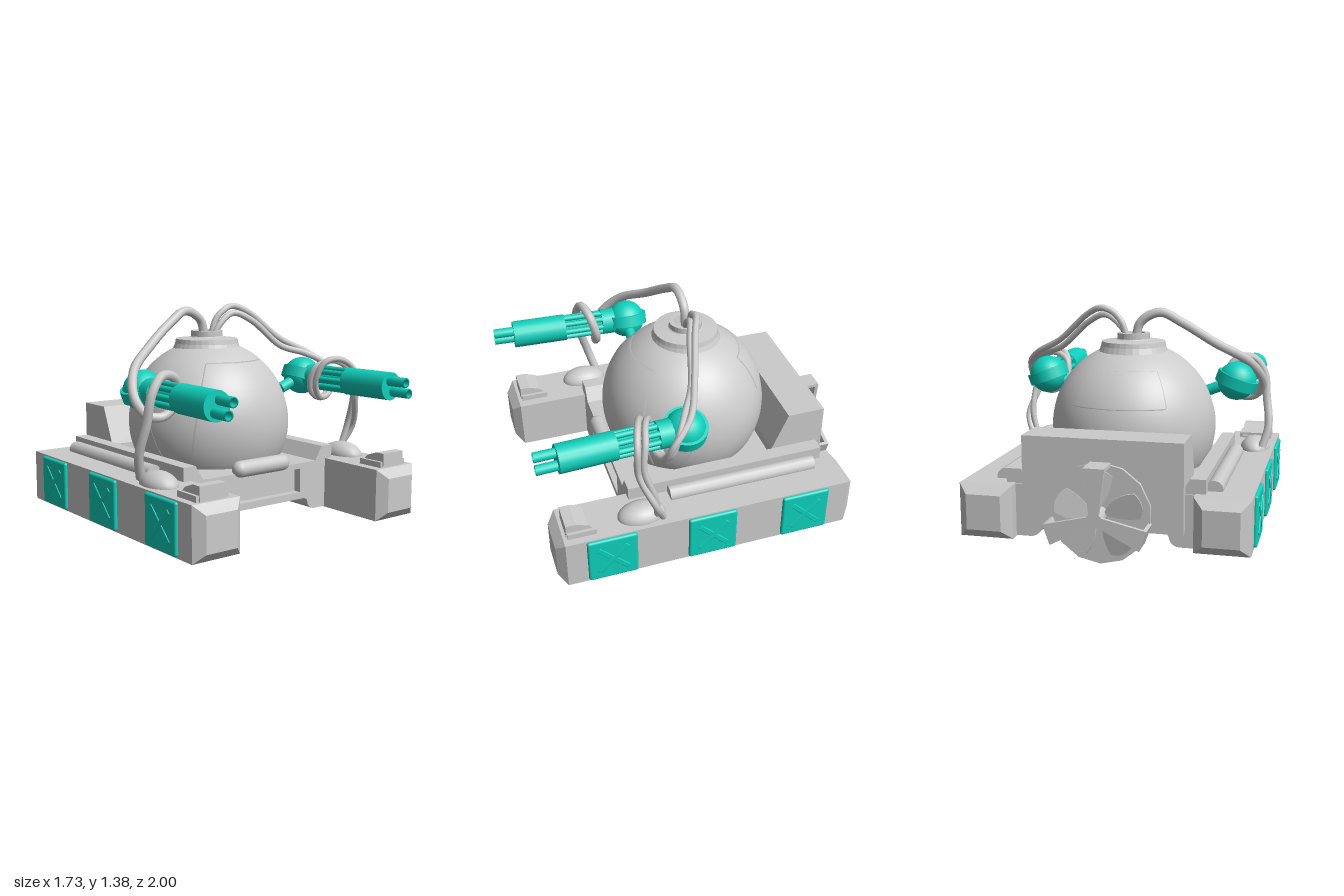
import * as THREE from 'three';
import { RoundedBoxGeometry } from 'three/addons/geometries/RoundedBoxGeometry.js';
import { ParametricGeometry } from 'three/addons/geometries/ParametricGeometry.js';

const grey = new THREE.MeshStandardMaterial({ color: 0xcccccc, side: THREE.DoubleSide });
const green = new THREE.MeshStandardMaterial({ color: 0x0fd0bc });
const V = (x, y, z) => new THREE.Vector3(x, y, z);

function add(parent, name, geo, x = 0, y = 0, z = 0, mat = grey) {
  const m = new THREE.Mesh(geo, mat);
  m.name = name;
  m.position.set(x, y, z);
  parent.add(m);
  return m;
}

const shapeOf = pts => new THREE.Shape(pts.map(p => new THREE.Vector2(...p)));
const extrude = (shape, depth) => new THREE.ExtrudeGeometry(shape, { depth, bevelEnabled: false, curveSegments: 6 });

// Side profile of [z, y] points swept along x, centred on x = 0
function sideExtrude(pts, width) {
  return extrude(shapeOf(pts), width).translate(0, 0, -width / 2).rotateY(-Math.PI / 2);
}

// Cylinder lying along z, from z0 to z1
function rodZ(r, z0, z1, sides = 16) {
  return new THREE.CylinderGeometry(r, r, z1 - z0, sides).rotateX(Math.PI / 2).translate(0, 0, (z0 + z1) / 2);
}

// Box along z with both ends tapered
function pontoonGeometry() {
  const g = new THREE.BoxGeometry(0.316, 0.315, 1.85, 1, 1, 3).toNonIndexed();
  const p = g.attributes.position;
  for (let i = 0; i < p.count; i++) {
    const z = p.getZ(i);
    if (Math.abs(z) > 0.9) p.setXYZ(i, p.getX(i) * 0.65, p.getY(i) * 0.66, z);
    else p.setZ(i, Math.sign(z) * 0.875);
  }
  g.computeVertexNormals();
  return g;
}

// Slightly raised plate on the dome; half-width runs from w0 (top) to w1 (bottom)
function domePlate(phi, t0, t1, w0, w1, r) {
  const D = Math.PI / 180;
  const g = new ParametricGeometry((u, v, out) => {
    const edge = Math.min(u, 1 - u, v, 1 - v) === 0;
    const t = (t0 + (t1 - t0) * v) * D;
    const a = (phi + (u * 2 - 1) * (w0 + (w1 - w0) * v)) * D;
    const rr = edge ? 0.5 : r;
    out.set(rr * Math.sin(t) * Math.sin(a), rr * Math.cos(t), rr * Math.sin(t) * Math.cos(a));
  }, 28, 20);
  return g;
}

function hose(parent, name, pts, r) {
  const curve = new THREE.CatmullRomCurve3(pts.map(p => V(...p)));
  add(parent, name, new THREE.TubeGeometry(curve, 90, r, 8), 0, 0, 0);
}

// Gun arm: ball joint, mounting pin, rod cluster, barrel and two muzzles
function createArm(s) {
  const arm = new THREE.Group();
  arm.name = s > 0 ? 'leftArm' : 'rightArm';
  arm.position.set(s * 0.62, 0.905, 0.125);
  add(arm, 'ballJoint', new THREE.SphereGeometry(0.12, 24, 16), 0, 0, 0, green);
  const band = add(arm, 'ballBand', new THREE.CylinderGeometry(0.132, 0.132, 0.07, 24), 0, 0, 0, green);
  band.rotation.z = s * -0.35;
  const pin = add(arm, 'mountingPin', new THREE.CylinderGeometry(0.035, 0.035, 0.2, 12), s * -0.1, -0.035, 0.005, green);
  pin.rotation.z = s * (Math.PI / 2 + 0.38);
  const gun = new THREE.Group();
  gun.name = 'gun';
  gun.rotation.y = s * 0.045;
  arm.add(gun);
  add(gun, 'collar', rodZ(0.083, 0.08, 0.17), 0, 0, 0, green);
  add(gun, 'core', rodZ(0.045, 0.1, 0.45), 0, 0, 0, green);
  for (let i = 0; i < 8; i++) {
    const a = (i / 8) * Math.PI * 2;
    add(gun, 'rod', rodZ(0.017, 0.1, 0.45, 8), Math.cos(a) * 0.064, Math.sin(a) * 0.064, 0, green);
  }
  add(gun, 'barrel', rodZ(0.085, 0.415, 0.75, 20), 0, 0, 0, green);
  for (const k of [-1, 1]) {
    const tube = new THREE.LatheGeometry([[0, 0.7], [0.03, 0.7], [0.03, 0.874], [0.02, 0.874], [0.02, 0.8], [0, 0.8]]
      .map(p => new THREE.Vector2(...p)), 14).rotateX(Math.PI / 2);
    add(gun, 'muzzle', tube, s * -0.015 * k, k * 0.033, 0, green);
  }
  return arm;
}

// Rear propeller with a three-armed bracket
function createFan() {
  const fan = new THREE.Group();
  fan.name = 'fan';
  fan.position.set(0, 0.292, 0);
  add(fan, 'fanPlate', rodZ(0.29, -0.865, -0.845, 14));
  add(fan, 'hub', rodZ(0.045, -1, -0.86, 12));
  const petal = new THREE.Shape();
  petal.moveTo(0.03, 0);
  petal.quadraticCurveTo(0.12, -0.1, 0.24, -0.07);
  petal.quadraticCurveTo(0.28, 0.02, 0.22, 0.08);
  petal.quadraticCurveTo(0.12, 0.07, 0.03, 0);
  for (let i = 0; i < 5; i++) {
    const holder = new THREE.Group();
    holder.rotation.z = Math.PI / 2 + (i * Math.PI * 2) / 5;
    fan.add(holder);
    add(holder, 'blade', extrude(petal, 0.008), 0, 0, -0.905).rotation.x = 0.18;
  }
  for (const deg of [90, 200, 340]) {
    const bracket = new THREE.Group();
    bracket.name = 'bracket';
    bracket.rotation.z = (deg * Math.PI) / 180;
    fan.add(bracket);
    add(bracket, 'strut', new THREE.BoxGeometry(0.02, 0.12, 0.15), 0.279, 0, -0.925);
    add(bracket, 'spoke', extrude(shapeOf([[0, -0.025], [0.289, -0.06], [0.289, 0.06], [0, 0.025]]), 0.022), 0, 0, -1);
  }
  return fan;
}

export function createModel() {
  const model = new THREE.Group();
  model.name = 'hoverVehicle';

  // Hull with rounded lower rails and a recessed front vent
  const hull = new THREE.Shape();
  hull.moveTo(-0.54, 0.41);
  hull.lineTo(-0.54, 0.105);
  hull.lineTo(-0.43, 0.105);
  hull.quadraticCurveTo(-0.385, 0.11, -0.375, 0.15);
  hull.quadraticCurveTo(-0.37, 0.18, -0.34, 0.182);
  hull.lineTo(0.34, 0.182);
  hull.quadraticCurveTo(0.37, 0.18, 0.375, 0.15);
  hull.quadraticCurveTo(0.385, 0.11, 0.43, 0.105);
  hull.lineTo(0.54, 0.105);
  hull.lineTo(0.54, 0.41);
  add(model, 'hull', extrude(hull, 1.2), 0, 0, -0.79);
  const front = hull.clone();
  front.holes.push(shapeOf([[-0.32, 0.225], [-0.32, 0.375], [0.31, 0.375], [0.31, 0.225]]));
  add(model, 'hullFront', extrude(front, 0.05), 0, 0, 0.41);
  const bumper = new THREE.CapsuleGeometry(0.05, 0.32, 8, 16).rotateZ(Math.PI / 2);
  add(model, 'bumper', bumper, -0.005, 0.435, 0.458);
  add(model, 'engineBox', sideExtrude([[-0.835, 0.19], [-0.5, 0.19], [-0.5, 0.47], [-0.6, 0.706], [-0.835, 0.706]], 0.925));

  // Pontoons, deck strips, lamps, hose sockets and side panels
  for (const s of [-1, 1]) {
    const side = new THREE.Group();
    side.name = s > 0 ? 'leftSide' : 'rightSide';
    model.add(side);
    add(side, 'pontoon', pontoonGeometry(), s * 0.678, 0.258, 0.025);
    add(side, 'deckStrip', extrude(shapeOf([[s * 0.43, 0.4], [s * 0.575, 0.4], [s * 0.575, 0.497], [s * 0.49, 0.497]]), 1.24), 0, 0, -0.78);
    add(side, 'rail', rodZ(0.05, -0.71, 0.22, 12), s * 0.612, 0.427, 0);
    add(side, 'lamp', sideExtrude([[0.7, 0.4], [0.88, 0.4], [0.88, 0.5], [0.82, 0.5], [0.75, 0.475], [0.7, 0.43]], 0.17), s * 0.685);
    add(side, 'lampBase', new THREE.BoxGeometry(0.21, 0.04, 0.17), s * 0.685, 0.43, 0.79);
    add(side, 'hoseSocket', new THREE.SphereGeometry(1, 20, 12), s * 0.715, 0.415, 0.42).scale.set(0.095, 0.08, 0.145);
    for (const z of [0.63, 0.02, -0.57]) {
      const panel = new THREE.Group();
      panel.name = 'sidePanel';
      panel.position.set(s * 0.84, 0.258, z);
      side.add(panel);
      add(panel, 'plate', new RoundedBoxGeometry(0.03, 0.298, 0.298, 3, 0.014), 0, 0, 0, green);
      for (const k of [-1, 1])
        add(panel, 'crossBar', new RoundedBoxGeometry(0.012, 0.25, 0.032, 2, 0.005), s * 0.014, 0, 0, green).rotation.x = (k * Math.PI) / 4;
    }
    model.add(createArm(s));
  }

  // Dome, its plates and the hose neck
  const dome = new THREE.Group();
  dome.name = 'dome';
  dome.position.set(-0.005, 0.65, -0.07);
  model.add(dome);
  add(dome, 'shell', new THREE.SphereGeometry(0.506, 48, 32, 0, Math.PI * 2, 0, 2.05));
  add(dome, 'frontPlate', domePlate(0, 37, 118, 41, 52, 0.511));
  add(dome, 'backPlate', domePlate(180, 42, 72, 38, 38, 0.511));
  for (const s of [-1, 1]) add(dome, 'sidePlate', domePlate(s * 92, 74, 116, 6, 24, 0.509));
  const cap = [[0.215, 0.45], [0.2, 0.487], [0.195, 0.515], [0.105, 0.525], [0.1, 0.53], [0.1, 0.565], [0.07, 0.565], [0.06, 0.5], [0, 0.5]];
  const neck = new THREE.LatheGeometry(cap.map(p => new THREE.Vector2(...p)), 32).toNonIndexed();
  neck.computeVertexNormals();
  add(dome, 'neck', neck, 0, 0, -0.015);

  // Hoses from the neck, round the guns and down to the sockets
  hose(model, 'thickHose', [
    [-0.02, 1.16, -0.09], [-0.05, 1.28, -0.09], [-0.17, 1.342, -0.08], [-0.3, 1.28, -0.05], [-0.5, 1.15, 0.02],
    [-0.7, 1.02, 0.15], [-0.77, 0.88, 0.27], [-0.72, 0.79, 0.32], [-0.62, 0.78, 0.34], [-0.54, 0.87, 0.35],
    [-0.57, 0.99, 0.38], [-0.68, 1.02, 0.41], [-0.76, 0.93, 0.43], [-0.785, 0.76, 0.41], [-0.805, 0.58, 0.36], [-0.77, 0.44, 0.32]], 0.028);
  hose(model, 'thinHoseA', [
    [0.03, 1.16, -0.09], [0.07, 1.28, -0.09], [0.13, 1.34, -0.08], [0.2, 1.363, -0.08], [0.3, 1.32, -0.04], [0.5, 1.15, 0.03],
    [0.7, 1.04, 0.12], [0.78, 0.93, 0.24], [0.72, 0.8, 0.28], [0.62, 0.78, 0.3], [0.55, 0.88, 0.33], [0.58, 1.01, 0.38],
    [0.68, 1.03, 0.42], [0.78, 0.95, 0.45], [0.79, 0.78, 0.45], [0.85, 0.58, 0.37], [0.79, 0.43, 0.31]], 0.02);
  hose(model, 'thinHoseB', [
    [0.03, 1.16, -0.07], [0.08, 1.25, -0.06], [0.18, 1.32, -0.05], [0.3, 1.27, -0.01], [0.5, 1.1, 0.05],
    [0.64, 1.05, 0.13], [0.75, 0.98, 0.2], [0.76, 0.85, 0.25], [0.65, 0.77, 0.27], [0.55, 0.84, 0.28], [0.55, 0.97, 0.32],
    [0.66, 1.02, 0.37], [0.76, 0.97, 0.4], [0.8, 0.82, 0.42], [0.815, 0.6, 0.36], [0.77, 0.43, 0.34]], 0.02);

  model.add(createFan());
  return model;
}
